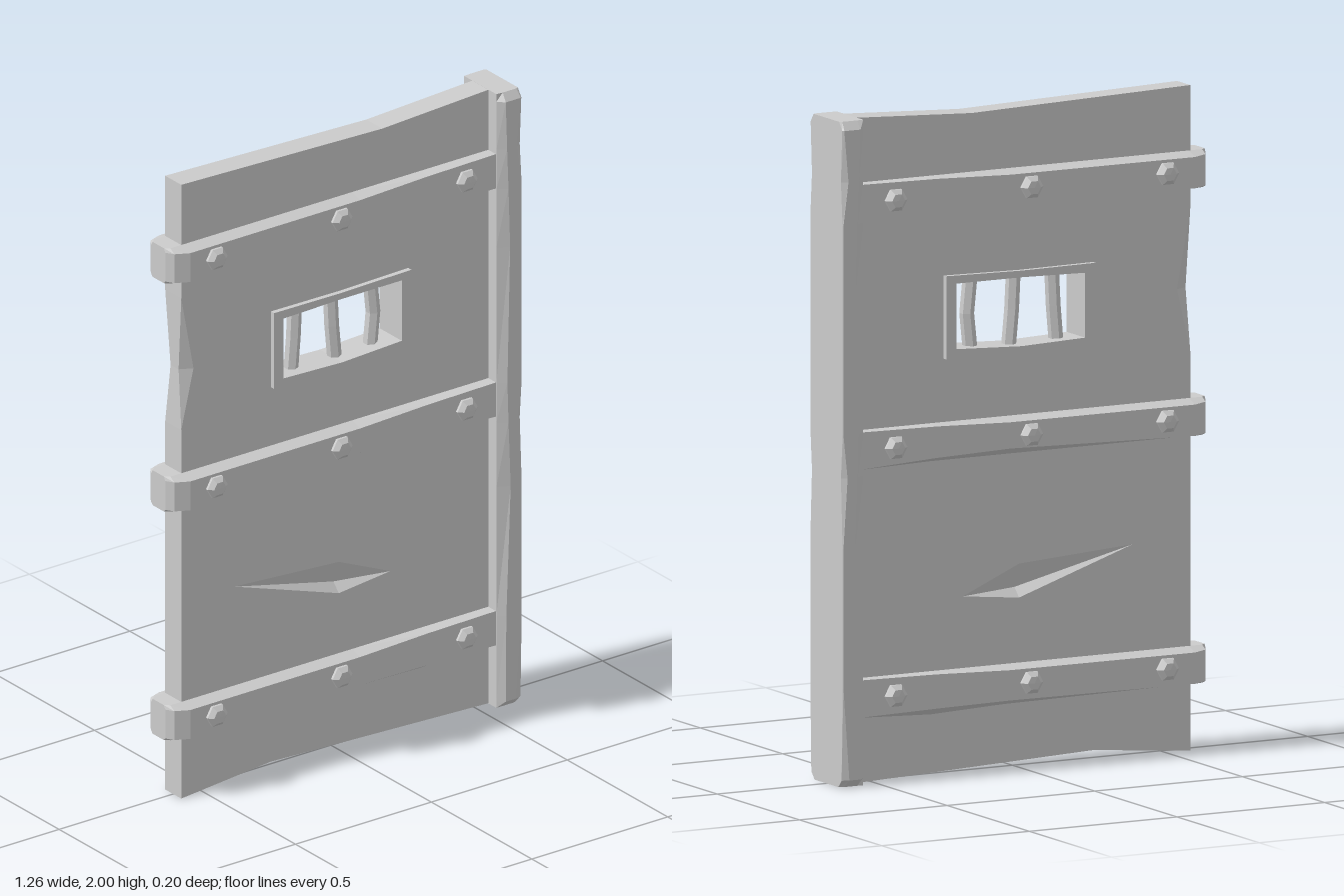
import * as THREE from 'three';

const material = new THREE.MeshStandardMaterial({ color: 0xcccccc, flatShading: true });
const thinMaterial = new THREE.MeshStandardMaterial({ color: 0xcccccc, flatShading: true, side: THREE.DoubleSide });

function addMesh(parent, name, geometry, mat = material) {
  const mesh = new THREE.Mesh(geometry, mat);
  mesh.name = name;
  parent.add(mesh);
  return mesh;
}

// Flat-shaded geometry from a list of triangles, each three [x, y, z] points
function fromTriangles(triangles) {
  const geometry = new THREE.BufferGeometry();
  geometry.setAttribute('position', new THREE.Float32BufferAttribute(triangles.flat(2), 3));
  geometry.computeVertexNormals();
  return geometry;
}

// Skin over rings of points, closed at both ends
function loft(rings) {
  const triangles = [];
  const n = rings[0].length;
  for (let i = 0; i < rings.length - 1; i++) {
    const a = rings[i], b = rings[i + 1];
    for (let j = 0; j < n; j++) {
      const k = (j + 1) % n;
      triangles.push([a[j], a[k], b[k]], [a[j], b[k], b[j]]);
    }
  }
  const first = rings[0], last = rings[rings.length - 1];
  for (let j = 1; j < n - 1; j++) {
    triangles.push([first[0], first[j + 1], first[j]], [last[0], last[j], last[j + 1]]);
  }
  return fromTriangles(triangles);
}

// Upright slab centred on z = 0, with holes
function slab(outline, holes, depth) {
  const points = (list) => list.map(([x, y]) => new THREE.Vector2(x, y));
  const shape = new THREE.Shape(points(outline));
  for (const hole of holes) shape.holes.push(new THREE.Path(points(hole)));
  const geometry = new THREE.ExtrudeGeometry(shape, { depth, bevelEnabled: false });
  return geometry.translate(0, 0, -depth / 2);
}

// A worn iron strap: front faces lean away from slightly wider roots
function strapGeometry(y, lift, sag) {
  // x, half depth, front top inset, front bottom inset, root sag
  const stations = [
    [-0.635, 0.035, 0.012, 0.008, 0],
    [-0.62, 0.06, 0.012, 0.008, 0],
    [-0.575, 0.078, 0.014, 0.006, 0],
    [0.05, 0.078, 0.013, lift, sag * 0.4],
    [0.3, 0.078, 0.004, lift * 0.7, sag],
    [0.56, 0.078, 0, 0.002, 0],
  ];
  return loft(stations.map(([x, z, topInset, bottomInset, drop]) => {
    const top = y + 0.057, bottom = y - 0.057, root = Math.min(0.04, z * 0.8);
    const t = top - topInset, b = bottom + bottomInset;
    return [
      [x, top, -root], [x, top, root], [x, t, z], [x, b, z],
      [x, bottom - drop, root], [x, bottom - drop, -root], [x, b, -z], [x, t, -z],
    ];
  }));
}

export function createModel() {
  const door = new THREE.Group();
  door.name = 'door';

  // Panel with window opening, gouge and edge chip
  const half = 0.04;
  const gouge = [[-0.385, 0.637], [0, 0.51], [0.19, 0.53], [0, 0.612]];
  const chip = [[-0.58, 1.63], [-0.535, 1.39], [-0.58, 1.2]];
  const opening = [[-0.235, 1.262], [0.235, 1.262], [0.235, 1.483], [-0.235, 1.483]];
  const outline = [
    [-0.58, 0], [-0.25, 0.03], [0.56, 0], [0.56, 2], [0.16, 1.98], [-0.58, 2], ...chip,
  ];
  addMesh(door, 'panel', slab(outline, [opening, gouge], half * 2));

  // Sloping faces inside the gouge and the chip, on both sides
  const cuts = [];
  for (const s of [1, -1]) {
    const rim = gouge.map(([x, y]) => [x, y, s * half]);
    const valley = [0, 0.538, s * 0.012];
    rim.forEach((p, i) => cuts.push([p, rim[(i + 1) % 4], valley]));
    const [a, c, b] = chip.map(([x, y]) => [x, y, s * half]);
    const d = [-0.575, 1.39, s * 0.02];
    cuts.push([a, c, d], [c, b, d]);
  }
  const [a, , b] = chip;
  const edge = (p, z) => [...p, z];
  const d1 = [-0.575, 1.39, 0.02], d2 = [-0.575, 1.39, -0.02];
  cuts.push(
    [edge(a, half), d1, d2], [edge(a, half), d2, edge(a, -half)],
    [edge(b, half), d2, d1], [edge(b, half), edge(b, -half), d2],
  );
  addMesh(door, 'wornCuts', fromTriangles(cuts), thinMaterial);

  // Window frame and bent bars
  const frameOuter = [[-0.25, 1.25], [0, 1.24], [0.255, 1.25], [0.255, 1.5], [0, 1.495], [-0.25, 1.497]];
  const frameInner = [[-0.215, 1.275], [0, 1.268], [0.22, 1.278], [0.22, 1.475], [0, 1.475], [-0.215, 1.47]];
  addMesh(door, 'windowFrame', slab(frameOuter, [frameInner], 0.112));
  for (const [x0, x1, x2] of [[-0.148, -0.138, -0.132], [0.014, 0.003, -0.003], [0.143, 0.155, 0.143]]) {
    const curve = new THREE.CatmullRomCurve3([
      new THREE.Vector3(x0, 1.255, 0), new THREE.Vector3(x1, 1.37, 0), new THREE.Vector3(x2, 1.49, 0),
    ]);
    addMesh(door, 'windowBar', new THREE.TubeGeometry(curve, 2, 0.022, 6));
  }

  // Hinge post: y, inner chamfer x, outer chamfer x, outer chamfer depth, half depth
  const levels = [
    [0, 0.57, 0.615, 0.008, 0.08],
    [0.022, 0.57, 0.608, 0.008, 0.1],
    [0.3, 0.572, 0.628, 0.002, 0.1],
    [0.72, 0.588, 0.628, 0.002, 0.1],
    [0.93, 0.58, 0.614, 0.012, 0.1],
    [1.06, 0.576, 0.628, 0.002, 0.1],
    [1.5, 0.586, 0.628, 0.002, 0.1],
    [1.69, 0.58, 0.628, 0.002, 0.1],
    [1.82, 0.575, 0.611, 0.012, 0.1],
    [1.975, 0.57, 0.625, 0.004, 0.1],
    [2, 0.572, 0.622, 0.004, 0.082],
  ];
  addMesh(door, 'hingePost', loft(levels.map(([y, inner, outer, cut, z]) => [
    [0.55, y, 0.08], [inner, y, z], [outer, y, z], [0.63, y, z - cut],
    [0.63, y, cut - z], [outer, y, -z], [inner, y, -z], [0.55, y, -0.08],
  ])));

  // Straps, each with three bolts per side
  const boltProfile = [[0.037, 0.06], [0.037, 0.086], [0.022, 0.099], [0, 0.1]]
    .map(([r, y]) => new THREE.Vector2(r, y));
  const boltGeometry = new THREE.LatheGeometry(boltProfile, 6, Math.PI / 6).rotateX(Math.PI / 2);
  for (const [y, lift, sag] of [[1.747, 0.006, 0], [1.003, 0.022, 0], [0.258, 0.01, 0.016]]) {
    addMesh(door, 'strap', strapGeometry(y, lift, sag));
    for (const x of [-0.48, -0.02, 0.44]) {
      for (const turn of [0, Math.PI]) {
        const bolt = addMesh(door, 'bolt', boltGeometry, thinMaterial);
        bolt.position.set(x, y + 0.002, 0);
        bolt.rotation.y = turn;
      }
    }
  }
  return door;
}
